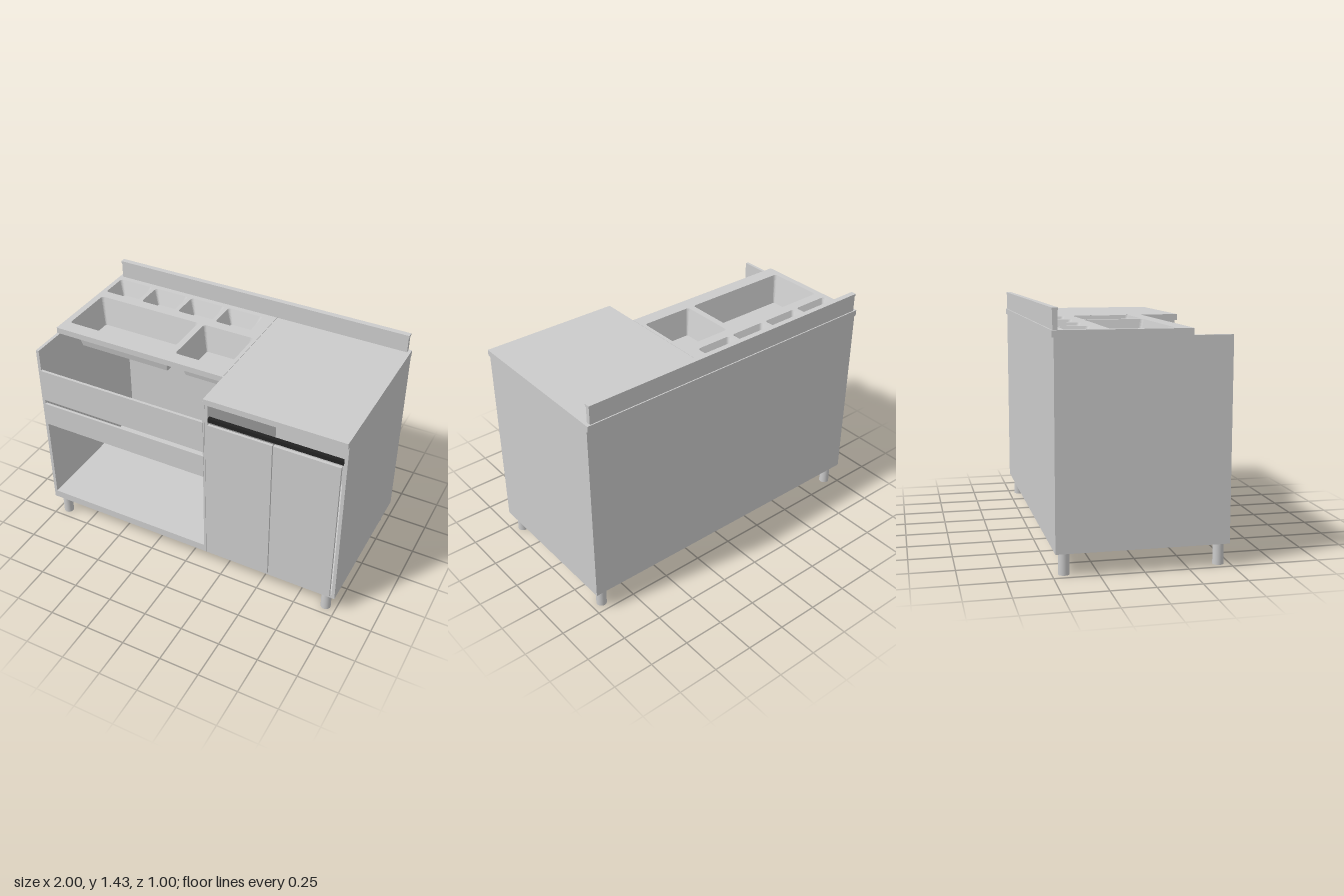
import * as THREE from 'three';

const steel = new THREE.MeshStandardMaterial({ color: 0xcccccc });
const sheet = new THREE.MeshStandardMaterial({ color: 0xcccccc, side: THREE.DoubleSide, flatShading: true });
const black = new THREE.MeshStandardMaterial({ color: 0x222222 });

// Corner points of a rounded rectangle in plan, as [x, z]
function roundedRect(x0, x1, z0, z1, r) {
  const pts = [];
  const corners = [[x1 - r, z1 - r], [x0 + r, z1 - r], [x0 + r, z0 + r], [x1 - r, z0 + r]];
  corners.forEach(([cx, cz], q) => {
    for (let i = 0; i <= 4; i++) {
      const a = (q + i / 4) * Math.PI / 2;
      pts.push([cx + r * Math.cos(a), cz + r * Math.sin(a)]);
    }
  });
  return pts;
}

// Open tapered tub lofted from a rim loop to a smaller bottom loop
function tubGeometry({ x0, x1, z0, z1, bottom, inset }, rimY) {
  const top = roundedRect(x0, x1, z0, z1, 0.018);
  const low = roundedRect(x0 + inset, x1 - inset, z0 + inset, z1 - inset, 0.01);
  const n = top.length, pos = [], idx = [];
  top.forEach(([x, z]) => pos.push(x, rimY, z));
  low.forEach(([x, z]) => pos.push(x, bottom, z));
  pos.push((x0 + x1) / 2, bottom, (z0 + z1) / 2);
  for (let i = 0; i < n; i++) {
    const j = (i + 1) % n;
    idx.push(i, j, n + i, j, n + j, n + i, n + i, n + j, 2 * n);
  }
  const g = new THREE.BufferGeometry();
  g.setAttribute('position', new THREE.Float32BufferAttribute(pos, 3));
  g.setIndex(idx);
  g.computeVertexNormals();
  return g;
}

export function createModel() {
  const model = new THREE.Group();
  model.name = 'preparationCounter';

  const add = (name, geometry, material = steel) => {
    const mesh = new THREE.Mesh(geometry, material);
    mesh.name = name;
    model.add(mesh);
    return mesh;
  };
  // Box given by its limits on each axis
  const box = (name, x0, x1, y0, y1, z0, z1, material) => {
    const mesh = add(name, new THREE.BoxGeometry(x1 - x0, y1 - y0, z1 - z0), material);
    mesh.position.set((x0 + x1) / 2, (y0 + y1) / 2, (z0 + z1) / 2);
    return mesh;
  };

  // Hollow carcass of two cabinets
  const back = -0.49, front = 0.48, low = 0.13, high = 1.28;
  box('leftSidePanel', -1, -0.98, low, high, back, front);
  box('leftDivider', 0.125, 0.139, low, high, back, front);
  box('rightDivider', 0.141, 0.16, low, high, back, front);
  box('rightSidePanel', 0.98, 1, low, high, back, front);
  box('backPanel', -0.98, 0.98, low, high, back, back + 0.015);
  box('leftFloor', -0.98, 0.125, low, 0.18, back + 0.015, front);
  box('rightFloor', 0.16, 0.98, low, 0.155, back + 0.015, front);

  // Fronts of the open cabinet
  box('upperFrontPanel', -0.985, 0.13, 0.925, 1.14, 0.468, 0.485);
  box('lowerFrontPanel', -0.985, 0.13, 0.74, 0.895, 0.468, 0.485);

  // Doors and dark grip rail
  box('leftDoor', 0.165, 0.566, 0.155, 1.14, 0.478, 0.495);
  box('rightDoor', 0.572, 0.972, 0.155, 1.14, 0.478, 0.495);
  box('gripRail', 0.16, 0.98, 1.152, 1.178, 0.46, 0.483, black);

  // Tubs: two large, four small
  const tubs = [
    { x0: -0.96, x1: -0.26, z0: -0.185, z1: 0.172, bottom: 1.142, inset: 0.042 },
    { x0: -0.22, x1: 0.115, z0: -0.185, z1: 0.172, bottom: 1.155, inset: 0.038 },
  ];
  for (let i = 0; i < 4; i++) {
    const x0 = -0.97 + i * 0.264;
    tubs.push({ x0, x1: x0 + 0.236, z0: -0.43, z1: -0.25, bottom: 1.23, inset: 0.04 });
  }

  // Worktops, the left one pierced for the tubs
  const topY = 1.317;
  const shape = new THREE.Shape([[-1, 0.5], [-1, -0.26], [0.139, -0.26], [0.139, 0.5]]
    .map(([x, y]) => new THREE.Vector2(x, y)));
  for (const t of tubs) {
    shape.holes.push(new THREE.Path(roundedRect(t.x0, t.x1, t.z0, t.z1, 0.018)
      .map(([x, z]) => new THREE.Vector2(x, -z))));
  }
  const leftTop = new THREE.ExtrudeGeometry(shape, { depth: topY - high, bevelEnabled: false });
  leftTop.rotateX(-Math.PI / 2).translate(0, high, 0);
  add('leftWorktop', leftTop);
  box('rightWorktop', 0.141, 1, high, topY, -0.5, 0.5);
  tubs.forEach((t, i) => add(i < 2 ? 'largeTub' : 'smallTub', tubGeometry(t, topY), sheet));

  // Backsplash with a folded cap
  box('backsplash', -0.98, 0.98, topY, 1.418, -0.493, -0.466);
  box('backsplashCap', -0.983, 0.983, 1.418, 1.432, -0.496, -0.462);

  // Legs
  for (const x of [-0.935, 0.935]) {
    for (const z of [-0.435, 0.435]) {
      add('leg', new THREE.CylinderGeometry(0.031, 0.031, low, 32)).position.set(x, low / 2, z);
    }
  }
  return model;
}
